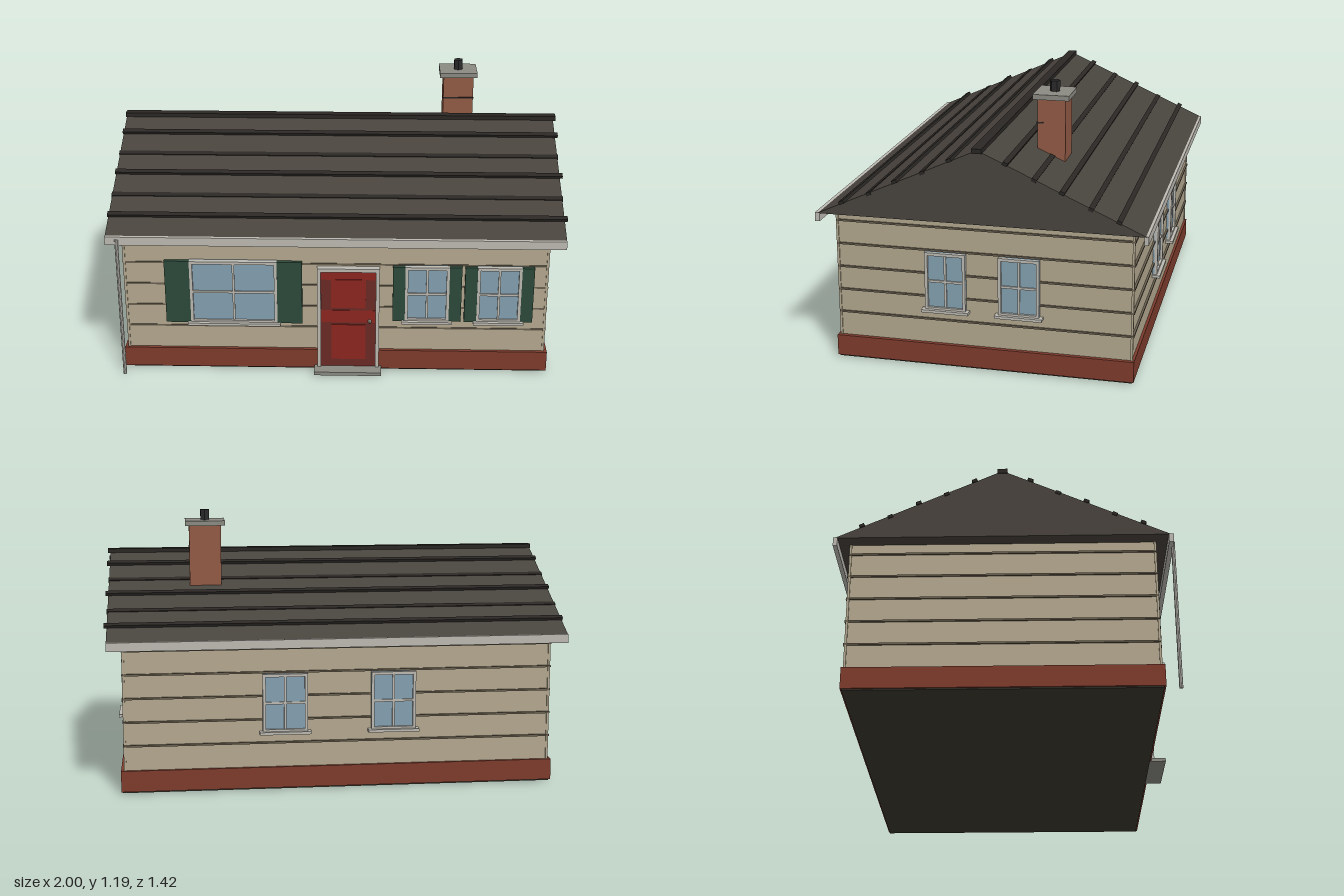
import * as THREE from 'three';

const colors = {
  siding: 0xb3a88f, strip: 0x6a6050, brick: 0x7d3b2c, chimney: 0x925a45, roof: 0x48433d, rib: 0x2a2724,
  trim: 0xbdbab2, glass: 0x84a0b0, shutter: 0x2d4a3a, door: 0x6a2a26, panel: 0x8c2520, floor: 0x3a382f,
  stone: 0x8b8a82, metal: 0x2a2a2a, knob: 0xa09a88,
};
const mats = {};
for (const k in colors) mats[k] = new THREE.MeshStandardMaterial({ color: colors[k], flatShading: true });

function add(parent, name, geo, mat, x = 0, y = 0, z = 0) {
  const m = new THREE.Mesh(geo, mats[mat]);
  m.name = name;
  m.position.set(x, y, z);
  parent.add(m);
  return m;
}

// Box given by its extents on each axis
function box(parent, name, mat, [x0, x1], [y0, y1], [z0, z1]) {
  return add(parent, name, new THREE.BoxGeometry(x1 - x0, y1 - y0, z1 - z0), mat,
    (x0 + x1) / 2, (y0 + y1) / 2, (z0 + z1) / 2);
}

// Window facing +z with its wall plane at z = 0, optional shutters of width s
function windowUnit(name, w, y0, y1, s = 0) {
  const g = new THREE.Group();
  g.name = name;
  const h = w / 2, t = 0.013, mid = (y0 + y1) / 2;
  box(g, 'glass', 'glass', [-h, h], [y0, y1], [-0.005, 0.01]);
  for (const k of [-1, 1]) {
    const a = k * (h - t / 2);
    box(g, 'frameSide', 'trim', [a - t / 2, a + t / 2], [y0, y1], [0, 0.021]);
    if (s) {
      const c = k * (h + s / 2);
      box(g, 'shutter', 'shutter', [c - s / 2, c + s / 2], [y0, y1], [0, 0.018]);
    }
  }
  box(g, 'frameTop', 'trim', [-h, h], [y1 - t, y1], [0, 0.021]);
  box(g, 'frameBottom', 'trim', [-h, h], [y0, y0 + t], [0, 0.021]);
  box(g, 'mullion', 'trim', [-0.005, 0.005], [y0, y1], [0, 0.016]);
  box(g, 'crossBar', 'trim', [-h, h], [mid - 0.005, mid + 0.005], [0, 0.016]);
  box(g, 'sill', 'trim', [-h - 0.014, h + 0.014], [y0 - 0.008, y0 + 0.004], [0, 0.036]);
  return g;
}

export function createModel() {
  const house = new THREE.Group();
  house.name = 'house';
  const cx = -0.004, cz = -0.006;
  const wallFront = 0.627, wallBack = -0.641, wallLeft = 0.922;

  // Foundation and walls
  box(house, 'floor', 'floor', [-0.942, 0.934], [0.004, 0.02], [-0.647, 0.635]);
  box(house, 'foundation', 'brick', [-0.949, 0.94], [0.01, 0.102], [-0.653, 0.642]);
  box(house, 'walls', 'siding', [-0.931, wallLeft], [0.1, 0.675], [wallBack, wallFront]);
  for (let i = 0; i < 5; i++) {
    const y = 0.21 + i * 0.1035;
    box(house, 'sidingStrip', 'strip', [-0.938, 0.929], [y - 0.004, y + 0.004], [-0.65, wallFront + 0.003]);
  }
  for (const x of [-0.931, wallLeft])
    for (const z of [wallBack, wallFront])
      box(house, 'cornerBoard', 'siding', [x - 0.005, x + 0.005], [0.1, 0.669], [z - 0.005, z + 0.005]);

  // Solid gable roof
  const eave = 0.669, ridge = 0.985, half = 0.697;
  const tri = new THREE.Shape([
    new THREE.Vector2(-half, eave), new THREE.Vector2(half, eave), new THREE.Vector2(0, ridge)]);
  const roofGeo = new THREE.ExtrudeGeometry(tri, { depth: 1.984, bevelEnabled: false });
  roofGeo.translate(0, 0, -0.992).rotateY(Math.PI / 2);
  add(house, 'roof', roofGeo, 'roof', cx, 0, cz);

  // Roof ribs, alternately raised and nearly flush, and the ridge cap
  const slope = Math.atan2(ridge - eave, half);
  for (const side of [-1, 1]) {
    for (let i = 1; i <= 5; i++) {
      const d = i * 0.1168, raised = i % 2 === 1;
      const rib = add(house, 'roofRib', new THREE.BoxGeometry(raised ? 2 : 1.99, 0.014, 0.022), 'rib',
        raised ? 0 : cx, ridge - d * Math.tan(slope) + (raised ? 0.006 : -0.004), cz + side * d);
      rib.rotation.x = side * slope;
    }
  }
  box(house, 'ridgeCap', 'rib', [-1, 1], [0.974, 0.994], [cz - 0.021, cz + 0.021]);

  // Gutters and downspout
  box(house, 'frontGutter', 'trim', [-0.996, 0.988], [0.634, 0.672], [0.68, 0.7]);
  box(house, 'backGutter', 'trim', [-0.996, 0.988], [0.634, 0.672], [-0.708, -0.69]);
  add(house, 'downspout', new THREE.CylinderGeometry(0.008, 0.008, 0.66, 8), 'trim', -0.945, 0.33, 0.7);

  // Front windows with shutters
  const fronts = [[-0.452, 0.384, 0.238, 0.537, 0.11], [0.399, 0.193, 0.256, 0.52, 0.054],
    [0.714, 0.193, 0.256, 0.52, 0.054]];
  for (const [x, w, y0, y1, s] of fronts) {
    const win = windowUnit('frontWindow', w, y0, y1, s);
    win.position.set(x, 0, wallFront + 0.006);
    house.add(win);
  }
  // Back windows
  for (const x of [-0.24, 0.232]) {
    const win = windowUnit('backWindow', 0.195, 0.258, 0.514);
    win.position.set(x, 0, wallBack);
    win.rotation.y = Math.PI;
    house.add(win);
  }
  // Windows on the left end wall
  for (const z of [0.153, -0.164]) {
    const win = windowUnit('sideWindow', 0.176, 0.258, 0.514);
    win.position.set(wallLeft, 0, z);
    win.rotation.y = Math.PI / 2;
    house.add(win);
  }

  // Front door
  const door = new THREE.Group();
  door.name = 'frontDoor';
  house.add(door);
  box(door, 'doorSlab', 'door', [-0.07, 0.176], [0.02, 0.495], [0.6, 0.648]);
  box(door, 'doorTopRail', 'panel', [-0.066, 0.172], [0.455, 0.493], [0.6, 0.65]);
  box(door, 'upperPanel', 'panel', [-0.022, 0.13], [0.318, 0.457], [0.6, 0.653]);
  box(door, 'middleRail', 'panel', [-0.066, 0.172], [0.245, 0.305], [0.6, 0.65]);
  box(door, 'lowerPanel', 'panel', [-0.022, 0.13], [0.062, 0.235], [0.6, 0.653]);
  box(door, 'doorJamb', 'trim', [-0.084, -0.068], [0.01, 0.511], [0.6, 0.658]);
  box(door, 'doorJamb', 'trim', [0.174, 0.19], [0.01, 0.511], [0.6, 0.658]);
  box(door, 'doorHead', 'trim', [-0.084, 0.19], [0.495, 0.511], [0.6, 0.658]);
  add(door, 'knob', new THREE.SphereGeometry(0.009, 8, 6), 'knob', 0.148, 0.255, 0.656);
  box(house, 'doorstep', 'stone', [-0.098, 0.202], [0.008, 0.024], [0.635, 0.708]);

  // Chimney with cap and flue
  box(house, 'chimney', 'chimney', [0.487, 0.628], [0.7, 1.125], [-0.295, -0.174]);
  box(house, 'chimneyBand', 'rib', [0.485, 0.63], [1.016, 1.022], [-0.2, -0.17]);
  box(house, 'chimneyCap', 'stone', [0.469, 0.645], [1.122, 1.144], [-0.313, -0.157]);
  add(house, 'flue', new THREE.CylinderGeometry(0.022, 0.022, 0.06, 6), 'metal', 0.557, 1.16, -0.235);

  return house;
}
